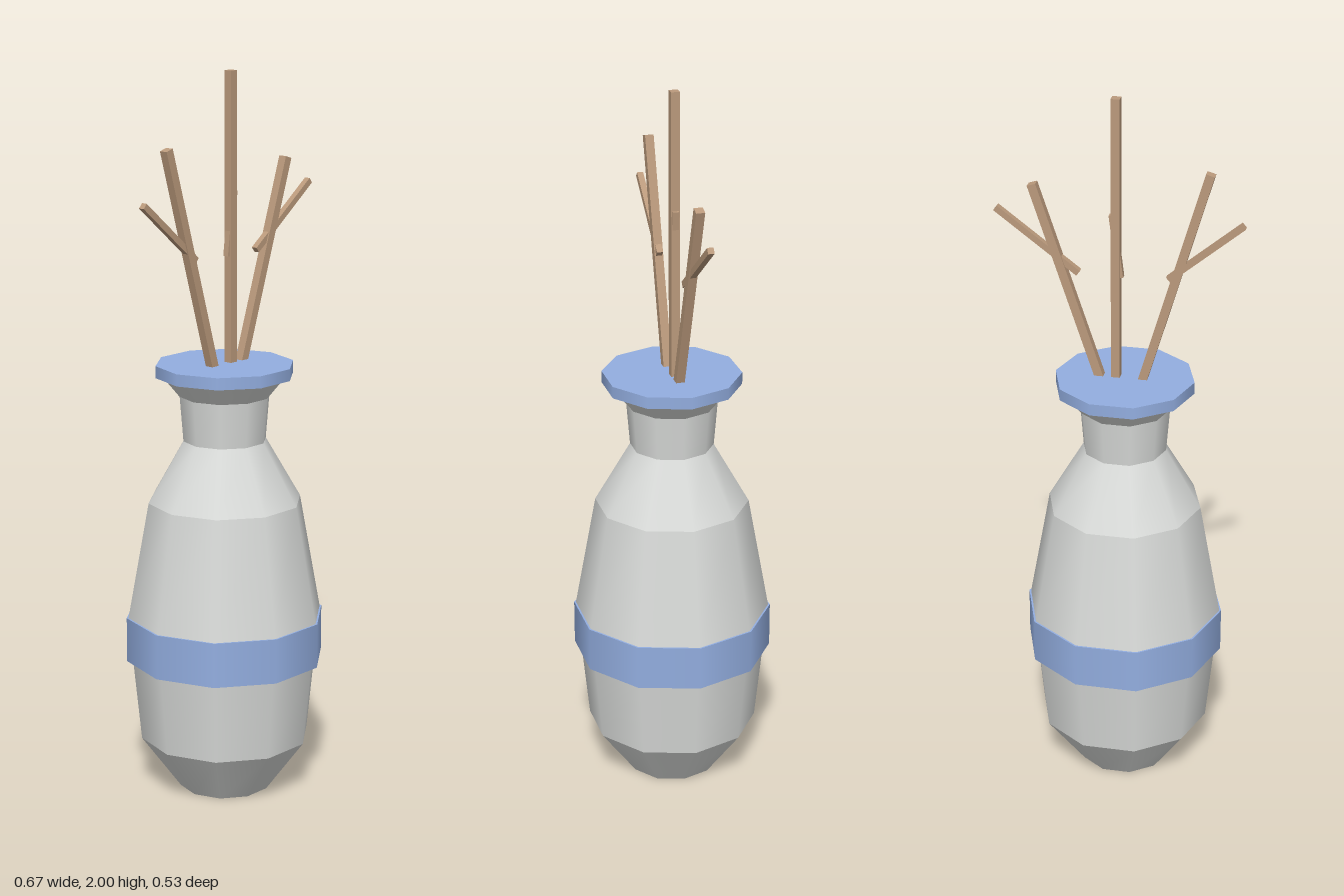
import * as THREE from 'three';

const ceramic = new THREE.MeshStandardMaterial({ name: 'paleCeramic', color: 0xd8dad8 });
const blue = new THREE.MeshStandardMaterial({ name: 'blueGlaze', color: 0x93aee0 });
const wood = new THREE.MeshStandardMaterial({ name: 'wood', color: 0xbb9a7c });

const SIDES = 10;

// Ten-sided ring between two heights, with a corner on the x axis
function ring(name, y0, r0, y1, r1, material, open = true) {
  const geometry = new THREE.CylinderGeometry(r1, r0, y1 - y0, SIDES, 1, open);
  geometry.rotateY(Math.PI / 2);
  const mesh = new THREE.Mesh(geometry, material);
  mesh.name = name;
  mesh.position.y = (y0 + y1) / 2;
  return mesh;
}

// Square stick running between two points in the z = 0 plane
function stick(name, x0, y0, x1, y1, width) {
  const dx = x1 - x0, dy = y1 - y0;
  const mesh = new THREE.Mesh(new THREE.BoxGeometry(width, Math.hypot(dx, dy), width), wood);
  mesh.name = name;
  mesh.position.set((x0 + x1) / 2, (y0 + y1) / 2, 0);
  mesh.rotation.z = -Math.atan2(dx, dy);
  return mesh;
}

export function createModel() {
  const model = new THREE.Group();
  model.name = 'reedVase';

  const vase = new THREE.Group();
  vase.name = 'vase';
  vase.position.x = -0.018;
  model.add(vase);

  // Body, built up ring by ring so the horizontal edges stay crisp
  const profile = [
    ['foot', 0, 0.127], ['lowerBody', 0.15, 0.237], ['middleBody', 0.38, 0.26],
    ['upperBody', 0.505, 0.272], ['shoulder', 0.83, 0.213], ['neck', 1.0, 0.115],
    ['flare', 1.125, 0.125], ['top', 1.18, 0.17],
  ];
  for (let i = 0; i < profile.length - 1; i++) {
    const [name, y0, r0] = profile[i];
    const [, y1, r1] = profile[i + 1];
    vase.add(ring(name, y0, r0, y1, r1, ceramic));
  }

  // Underside
  const base = new THREE.Mesh(new THREE.CircleGeometry(0.127, SIDES), ceramic);
  base.name = 'base';
  base.rotation.x = Math.PI / 2;
  vase.add(base);

  // Blue band and lid
  vase.add(ring('band', 0.38, 0.277, 0.505, 0.277, blue, false));
  vase.add(ring('lid', 1.18, 0.191, 1.213, 0.191, blue, false));

  // Reeds, each with a thin twig
  const reeds = new THREE.Group();
  reeds.name = 'reeds';
  reeds.add(
    stick('middleReed', 0.006, 1.19, 0.006, 2.0, 0.024),
    stick('rightReed', -0.063, 1.195, -0.243, 1.812, 0.024),
    stick('leftReed', 0.046, 1.195, 0.23, 1.75, 0.024),
    stick('middleTwig', -0.006, 1.505, 0.016, 1.68, 0.017),
    stick('rightTwig', -0.135, 1.51, -0.332, 1.676, 0.017),
    stick('leftTwig', 0.107, 1.508, 0.329, 1.676, 0.017),
  );
  model.add(reeds);

  return model;
}
